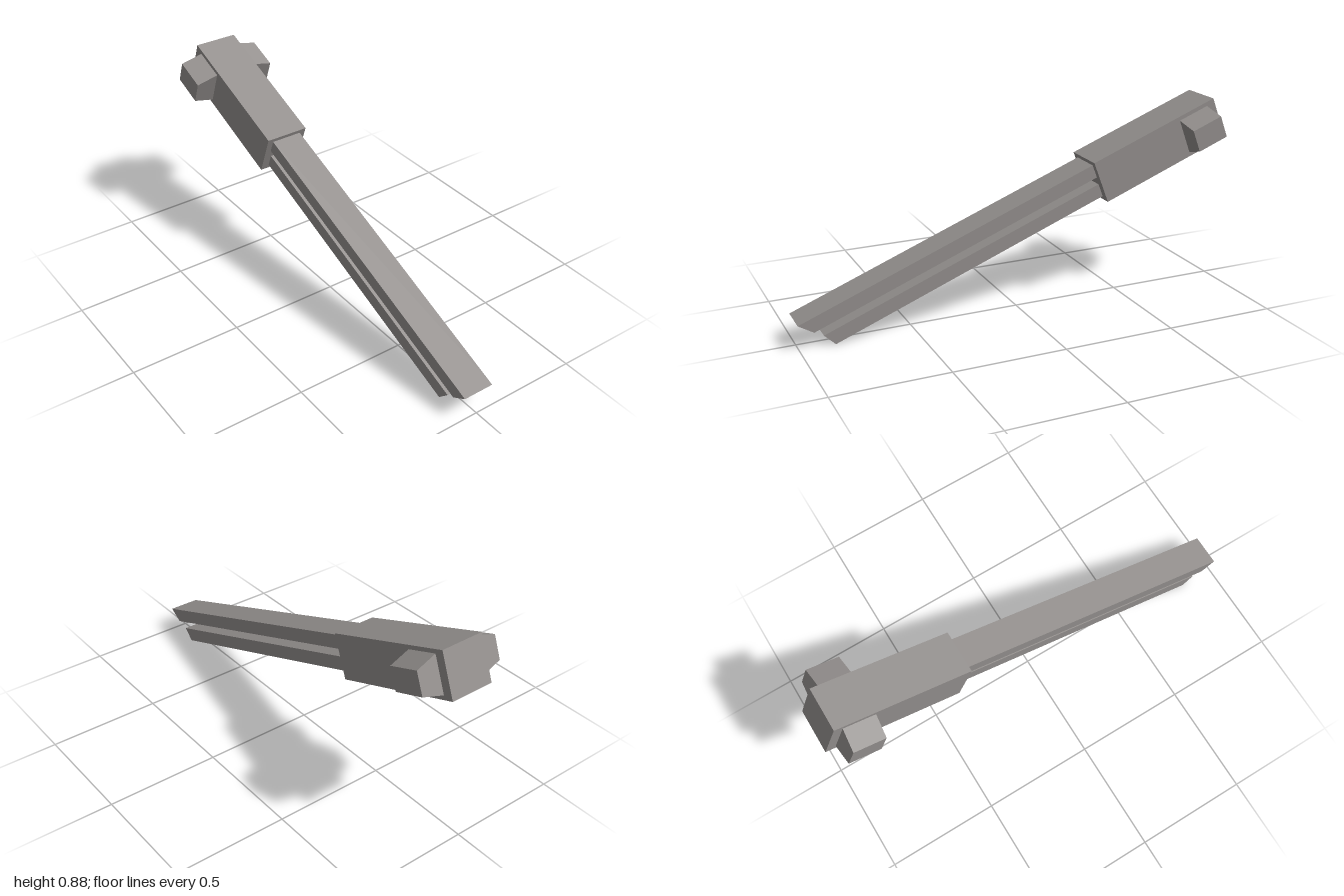
import * as THREE from 'three';

const material = new THREE.MeshStandardMaterial({ color: 0x95918f, flatShading: true });

const polygon = (points) => new THREE.Shape(points.map(([x, y]) => new THREE.Vector2(x, y)));

const rectangle = (w, y0, y1) => [[-w, y0], [w, y0], [w, y1], [-w, y1]];

// Extrudes an x-y outline along z from back to front
function prism(shape, back, front) {
  const geometry = new THREE.ExtrudeGeometry(shape, { depth: front - back, bevelEnabled: false });
  return geometry.translate(0, 0, back);
}

function addPart(parent, name, geometry) {
  const mesh = new THREE.Mesh(geometry, material);
  mesh.name = name;
  parent.add(mesh);
}

// Hollow rectangular barrel whose muzzle is cut at a slant
function barrel(halfWidth, y0, y1, inset, back, frontLow, frontHigh) {
  const shape = polygon(rectangle(halfWidth, y0, y1));
  const mid = (y0 + y1) / 2;
  const half = (y1 - y0) / 2 * inset;
  shape.holes.push(polygon(rectangle(halfWidth * inset, mid - half, mid + half)));
  const geometry = prism(shape, back, frontLow);
  const pos = geometry.attributes.position;
  for (let i = 0; i < pos.count; i++) {
    if (pos.getZ(i) > 0) {
      const t = (pos.getY(i) - y0) / (y1 - y0);
      pos.setZ(i, frontLow + t * (frontHigh - frontLow));
    }
  }
  geometry.computeVertexNormals();
  return geometry;
}

export function createModel() {
  const model = new THREE.Group();
  model.name = 'doubleBarrel';

  // Everything lies along one axis, which dips towards the front
  const tilted = new THREE.Group();
  tilted.name = 'tiltedAssembly';
  tilted.rotation.x = THREE.MathUtils.degToRad(21.1);
  model.add(tilted);

  // Breech block
  addPart(tilted, 'breechBlock', prism(polygon(rectangle(0.099, 0.287, 0.486)), -1.183, -0.541));

  // Upper and lower barrels
  addPart(tilted, 'upperBarrel', barrel(0.071, 0.405, 0.467, 0.74, -0.56, 0.847, 0.894));
  addPart(tilted, 'lowerBarrel', barrel(0.0625, 0.305, 0.367, 0.69, -0.56, 0.789, 0.817));

  // Tapered pivot lugs on both sides
  for (const [side, name] of [[1, 'leftLug'], [-1, 'rightLug']]) {
    const outline = polygon([
      [side * 0.09, 0.304], [side * 0.197, 0.336], [side * 0.197, 0.439], [side * 0.09, 0.471],
    ]);
    addPart(tilted, name, prism(outline, -1.141, -0.992));
  }

  return model;
}
